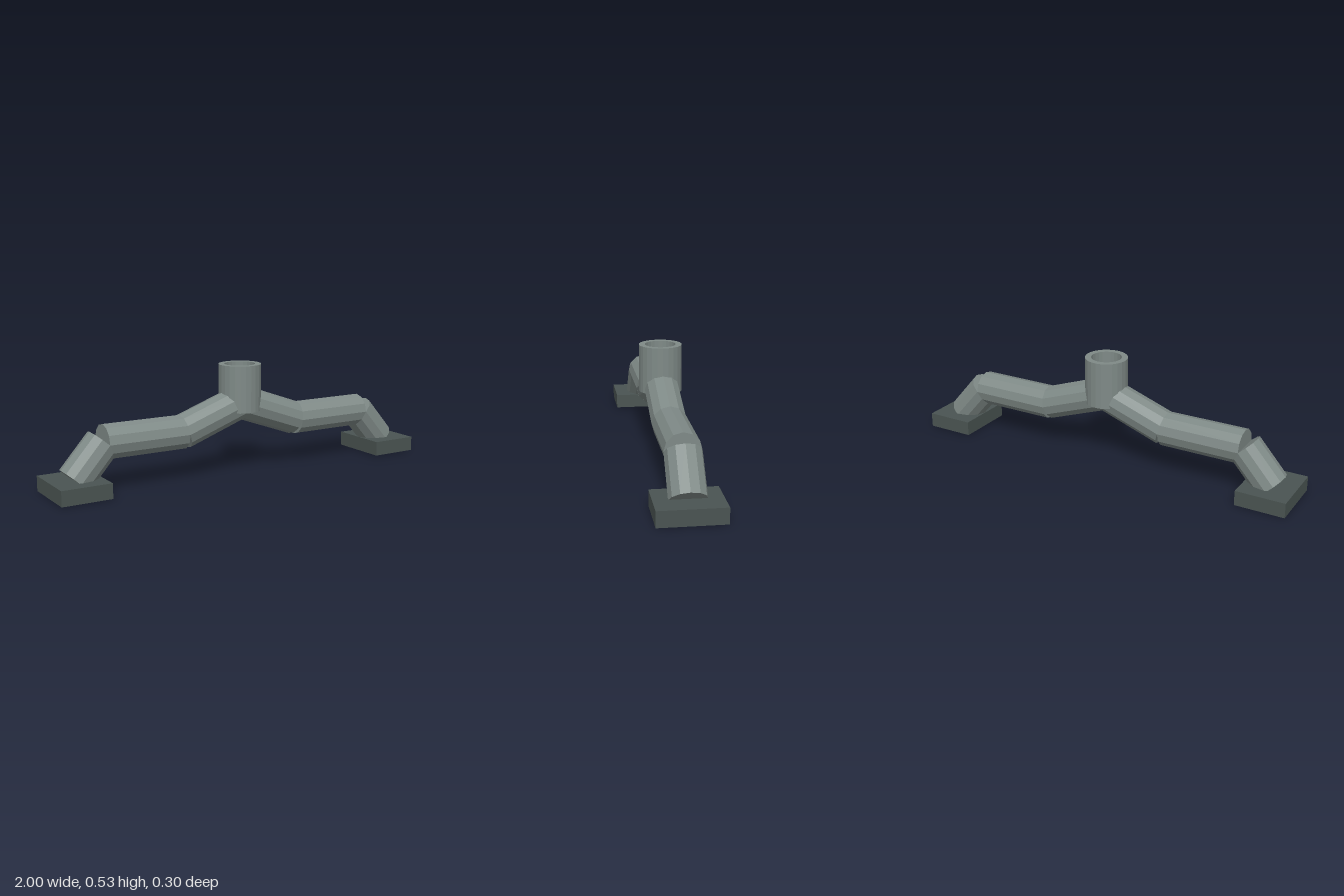
import * as THREE from 'three';

export function createModel() {
  const model = new THREE.Group();
  model.name = 'pipeStand';

  const pipeGrey = new THREE.MeshStandardMaterial({ color: 0x7f8a87, flatShading: true });
  pipeGrey.name = 'pipe grey';
  const footGrey = new THREE.MeshStandardMaterial({ color: 0x4a5452, flatShading: true });
  footGrey.name = 'foot dark grey';

  const add = (parent, name, geometry, material) => {
    const mesh = new THREE.Mesh(geometry, material);
    mesh.name = name;
    parent.add(mesh);
    return mesh;
  };

  // Straight capped 12-sided pipe between two points in the x-y plane
  const up = new THREE.Vector3(0, 1, 0);
  const pipe = (parent, name, [x0, y0], [x1, y1]) => {
    const a = new THREE.Vector3(x0, y0, 0);
    const b = new THREE.Vector3(x1, y1, 0);
    const dir = b.clone().sub(a);
    const geometry = new THREE.CylinderGeometry(0.084, 0.084, dir.length(), 12);
    const mesh = add(parent, name, geometry, pipeGrey);
    mesh.position.copy(a).add(b).multiplyScalar(0.5);
    mesh.quaternion.setFromUnitVectors(up, dir.normalize());
  };

  // Hollow upright socket in the middle
  const ring = [[0.105, 0.302], [0.105, 0.532], [0.075, 0.532], [0.075, 0.302], [0.105, 0.302]];
  const socket = new THREE.LatheGeometry(ring.map(([x, y]) => new THREE.Vector2(x, y)), 24);
  add(model, 'socket', socket, pipeGrey);

  // Mirrored arms: sloping, level and leg pipes, each ending on a foot block
  for (const [side, s] of [['left', 1], ['right', -1]]) {
    const arm = new THREE.Group();
    arm.name = side + 'Arm';
    const joints = [[0, 0.343], [0.324, 0.228], [0.735, 0.228], [0.878, 0.066]]
      .map(([x, y]) => [s * x, y]);
    ['slopingPipe', 'levelPipe', 'legPipe'].forEach((name, i) =>
      pipe(arm, name, joints[i], joints[i + 1]));

    const foot = add(arm, 'foot', new THREE.BoxGeometry(0.243, 0.073, 0.302), footGrey);
    foot.position.set(s * 0.8785, 0.0365, 0);
    model.add(arm);
  }

  return model;
}
